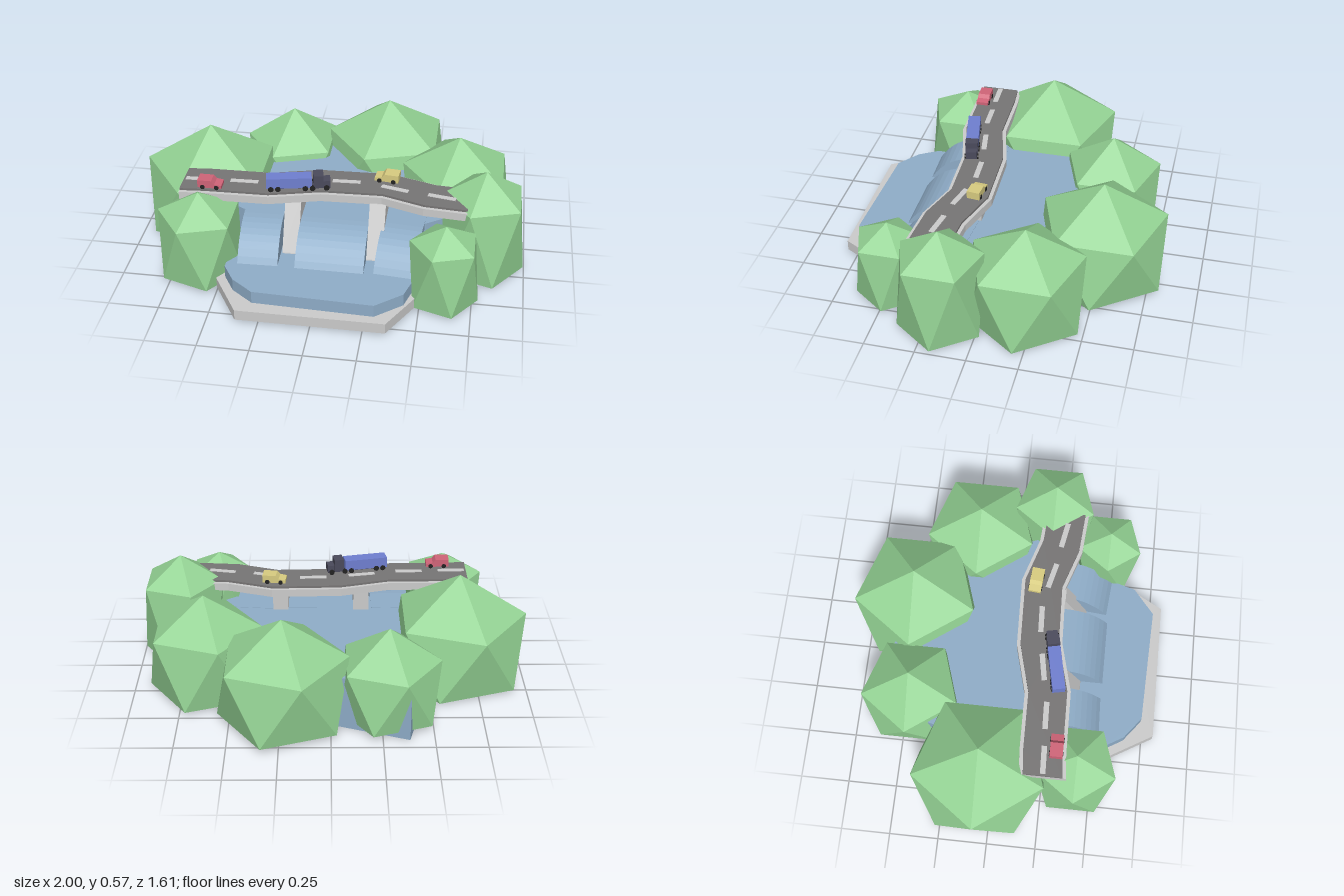
import * as THREE from 'three';

const mat = (color) => new THREE.MeshStandardMaterial({ color, flatShading: true });
const M = {
  concrete: mat(0xcccccc), road: mat(0x777575), line: mat(0xc0c0c0), water: mat(0x8fadc8),
  tree: mat(0x94d394), blue: mat(0x6f7fd0), dark: mat(0x4a4a5c), red: mat(0xd06478),
  yellow: mat(0xd8cc80), black: mat(0x222222),
};

function add(parent, name, geometry, material, x = 0, y = 0, z = 0) {
  const mesh = new THREE.Mesh(geometry, material);
  mesh.name = name;
  mesh.position.set(x, y, z);
  parent.add(mesh);
  return mesh;
}

// Upright prism over an [x, z] outline
function prism(outline, y0, y1) {
  const shape = new THREE.Shape(outline.map(([x, z]) => new THREE.Vector2(x, -z)));
  return new THREE.ExtrudeGeometry(shape, { depth: y1 - y0, bevelEnabled: false })
    .rotateX(-Math.PI / 2).translate(0, y0, 0);
}

// Side profile in (z, y), given a width along x
function sideProfile(shape, width) {
  return new THREE.ExtrudeGeometry(shape, { depth: width, bevelEnabled: false, curveSegments: 8 })
    .translate(0, 0, -width / 2).rotateY(-Math.PI / 2);
}

// Five-sided crown: apex, two staggered rings, flat bottom
function crown(r, bottom, shoulder, top) {
  const ring = (y, turn) => Array.from({ length: 5 }, (_, i) => {
    const a = Math.PI + turn + (i * Math.PI * 2) / 5;
    return [r * Math.cos(a), y, r * Math.sin(a)];
  });
  const u = ring(shoulder, 0), l = ring(bottom, Math.PI / 5), p = [];
  for (let i = 0; i < 5; i++) {
    const j = (i + 1) % 5;
    p.push([0, top, 0], u[j], u[i], u[i], u[j], l[i], u[j], l[j], l[i], [0, bottom, 0], l[i], l[j]);
  }
  const g = new THREE.BufferGeometry();
  g.setAttribute('position', new THREE.Float32BufferAttribute(p.flat(), 3));
  g.computeVertexNormals();
  return g;
}

// Bridge centre line in [x, z]
const path = [[-0.72, 0.25], [-0.6, 0.24], [-0.29, 0.235], [-0.04, 0.17], [0.29, 0.16], [0.51, 0.23], [0.7, 0.245]];

function strip(halfWidth) {
  const side = (s) => path.map(([x, z], i) => {
    const a = path[Math.max(i - 1, 0)], b = path[Math.min(i + 1, path.length - 1)];
    const dx = b[0] - a[0], dz = b[1] - a[1], len = Math.hypot(dx, dz);
    const k = i === 0 || i === path.length - 1 ? 0 : 1;
    return [x - (s * halfWidth * dz * k) / len, z + (s * halfWidth * dx) / len];
  });
  return [...side(1), ...side(-1).reverse()];
}

function wheels(parent, xs, r, half) {
  for (const x of xs) for (const s of [-1, 1]) {
    add(parent, 'wheel', new THREE.CylinderGeometry(r, r, 0.012, 10).rotateX(Math.PI / 2), M.black, x, r, s * half);
  }
}

// Small car with a tall body at the back and a sloping bonnet towards +x
function car(name, material) {
  const g = new THREE.Group();
  g.name = name;
  const s = new THREE.Shape([[-0.06, 0.008], [0.06, 0.008], [0.06, 0.024], [0.025, 0.03], [0.01, 0.048], [-0.06, 0.048]]
    .map(([x, y]) => new THREE.Vector2(x, y)));
  add(g, 'carBody', new THREE.ExtrudeGeometry(s, { depth: 0.064, bevelEnabled: false }), material, 0, 0, -0.032);
  wheels(g, [-0.035, 0.035], 0.012, 0.029);
  return g;
}

function truck() {
  const g = new THREE.Group();
  g.name = 'truck';
  add(g, 'trailer', new THREE.BoxGeometry(0.225, 0.055, 0.064), M.blue, -0.045, 0.044, 0);
  add(g, 'chassis', new THREE.BoxGeometry(0.3, 0.012, 0.045), M.dark, 0, 0.016, 0);
  add(g, 'cab', new THREE.BoxGeometry(0.05, 0.068, 0.064), M.dark, 0.1, 0.047, 0);
  add(g, 'bonnet', new THREE.BoxGeometry(0.035, 0.04, 0.056), M.dark, 0.142, 0.03, 0);
  wheels(g, [-0.135, -0.1, 0.035, 0.07, 0.14], 0.014, 0.03);
  return g;
}

export function createModel() {
  const model = new THREE.Group();
  model.name = 'damWithRoadBridge';

  // Trees: x, z, radius, bottom, shoulder height, top
  const trees = [
    [-0.653, -0.07, 0.347, 0.015, 0.35, 0.57],
    [-0.283, -0.465, 0.257, 0.03, 0.31, 0.485],
    [0.235, -0.5, 0.325, 0.03, 0.355, 0.555],
    [0.632, -0.2, 0.29, 0.015, 0.35, 0.525],
    [0.78, 0.18, 0.215, 0.015, 0.42, 0.56],
    [0.608, 0.487, 0.172, 0.015, 0.335, 0.43],
    [-0.61, 0.41, 0.21, 0.015, 0.345, 0.46],
  ];
  for (const [x, z, ...size] of trees) add(model, 'tree', crown(...size), M.tree, x, 0, z);

  // Lake behind the dam, basin and pool in front
  add(model, 'lake', prism([[-0.6, 0.15], [-0.42, 0.25], [0.5, 0.25], [0.63, 0.16], [0.35, -0.44], [-0.38, -0.69]], 0, 0.28), M.water);
  add(model, 'basin', prism([[-0.36, 0.805], [0.36, 0.805], [0.49, 0.57], [0.55, 0.2], [-0.55, 0.2], [-0.5, 0.57]], 0.015, 0.07), M.concrete);
  add(model, 'pool', prism([[-0.29, 0.735], [0.3, 0.757], [0.43, 0.65], [0.46, 0.55], [0.46, 0.22], [-0.46, 0.22], [-0.46, 0.55], [-0.4, 0.65]], 0.07, 0.135), M.water);

  // Spillways with a rounded crest
  const spill = new THREE.Shape();
  spill.moveTo(-0.2, 0.07);
  spill.lineTo(0.2, 0.07);
  spill.lineTo(0.2, 0.13);
  spill.bezierCurveTo(0.14, 0.23, 0.06, 0.282, -0.04, 0.282);
  spill.lineTo(-0.2, 0.282);
  for (const [x, width, turn] of [[-0.31, 0.2, 0.03], [0.05, 0.34, 0], [0.385, 0.2, -0.09]]) {
    add(model, 'spillway', sideProfile(spill, width), M.water, x, 0, 0.32).rotation.y = turn;
  }

  // Buttressed piers
  const pier = new THREE.Shape([[0.1, 0.07], [0.42, 0.07], [0.4, 0.14], [0.28, 0.39], [0.1, 0.39]]
    .map(([z, y]) => new THREE.Vector2(z, y)));
  for (const x of [-0.16, 0.26]) add(model, 'pier', sideProfile(pier, 0.08), M.concrete, x, 0, 0);

  // Bridge deck, road surface and lane dashes
  add(model, 'bridgeDeck', prism(strip(0.115), 0.385, 0.425), M.concrete);
  add(model, 'road', prism(strip(0.097), 0.42, 0.436), M.road);
  for (const [x, z, turn] of [[-0.64, 0.247, 0.03], [-0.415, 0.237, 0.03], [-0.165, 0.2, 0.17],
    [0.09, 0.167, 0.04], [0.335, 0.2, -0.24], [0.57, 0.243, -0.18]]) {
    add(model, 'laneDash', new THREE.BoxGeometry(0.14, 0.006, 0.027), M.line, x, 0.436, z).rotation.y = turn;
  }

  // Vehicles
  const vehicles = [
    [car('redCar', M.red), -0.57, 0.305, 0],
    [car('yellowCar', M.yellow), 0.29, 0.122, Math.PI - 0.1],
    [truck(), -0.14, 0.257, 0.2],
  ];
  for (const [v, x, z, turn] of vehicles) {
    v.position.set(x, 0.436, z);
    v.rotation.y = turn;
    model.add(v);
  }
  return model;
}
